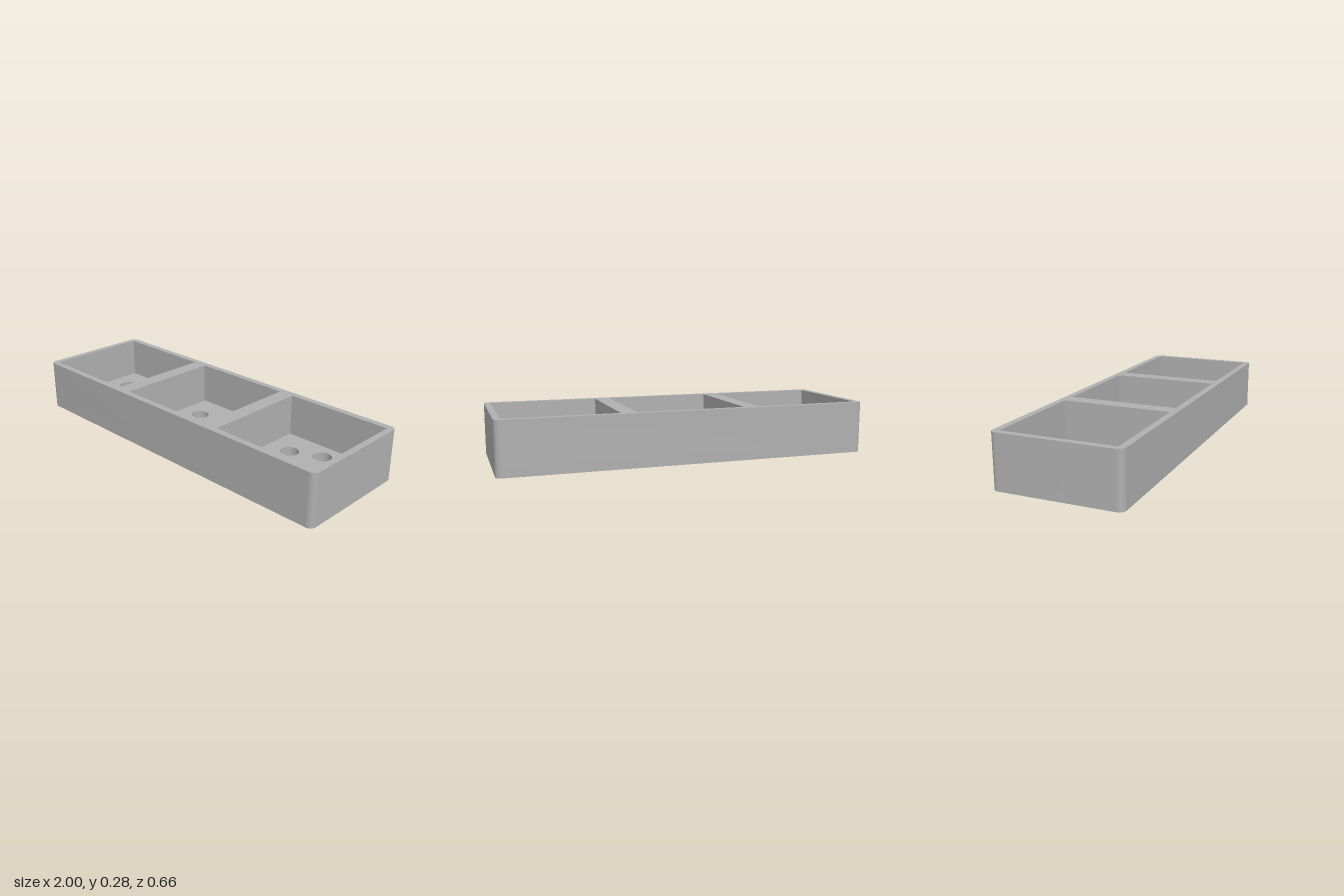
import * as THREE from 'three';
import { toCreasedNormals } from 'three/addons/utils/BufferGeometryUtils.js';

const HALF_X = 1, HALF_Z = 0.33, HEIGHT = 0.281, FLOOR = 0.053, CORNER = 0.033;
const PITCH = 0.672, POCKET = 0.294;
const CENTRES = [-PITCH, 0, PITCH];

// Holes under each pocket: x, distance towards the back, radius
const HOLES = [
  [0, 0, 0.056], [0, 0.193, 0.05],
  [-0.16, 0.123, 0.05], [0.16, 0.123, 0.05],
  [-0.176, 0, 0.029], [0.176, 0, 0.029],
];

// Outline with rounded corners
function outline() {
  const s = new THREE.Shape();
  const x = HALF_X - CORNER, y = HALF_Z - CORNER;
  s.absarc(x, y, CORNER, 0, Math.PI / 2);
  s.absarc(-x, y, CORNER, Math.PI / 2, Math.PI);
  s.absarc(-x, -y, CORNER, Math.PI, Math.PI * 1.5);
  s.absarc(x, -y, CORNER, Math.PI * 1.5, Math.PI * 2);
  s.closePath();
  return s;
}

// Upright slab from y = bottom to y = top
function slab(name, shape, bottom, top, material) {
  const geo = new THREE.ExtrudeGeometry(shape, { depth: top - bottom, bevelEnabled: false, curveSegments: 16 });
  geo.rotateX(-Math.PI / 2);
  geo.translate(0, bottom, 0);
  const mesh = new THREE.Mesh(toCreasedNormals(geo, 0.6), material);
  mesh.name = name;
  return mesh;
}

export function createModel() {
  const model = new THREE.Group();
  model.name = 'threePocketHousing';
  const grey = new THREE.MeshStandardMaterial({ color: 0xb0b0b0 });
  grey.name = 'grey plastic';

  const base = outline(), walls = outline();
  for (const cx of CENTRES) {
    // Round through-holes in the floor
    for (const [x, back, r] of HOLES) {
      base.holes.push(new THREE.Path().absarc(cx + x, back, r, 0, Math.PI * 2, true));
    }
    // Square pocket between the walls
    walls.holes.push(new THREE.Path([
      [-1, -1], [-1, 1], [1, 1], [1, -1],
    ].map(([u, v]) => new THREE.Vector2(cx + u * POCKET, v * POCKET))));
  }

  model.add(
    slab('perforatedFloor', base, 0, FLOOR, grey),
    slab('pocketWalls', walls, FLOOR, HEIGHT, grey),
  );
  return model;
}
